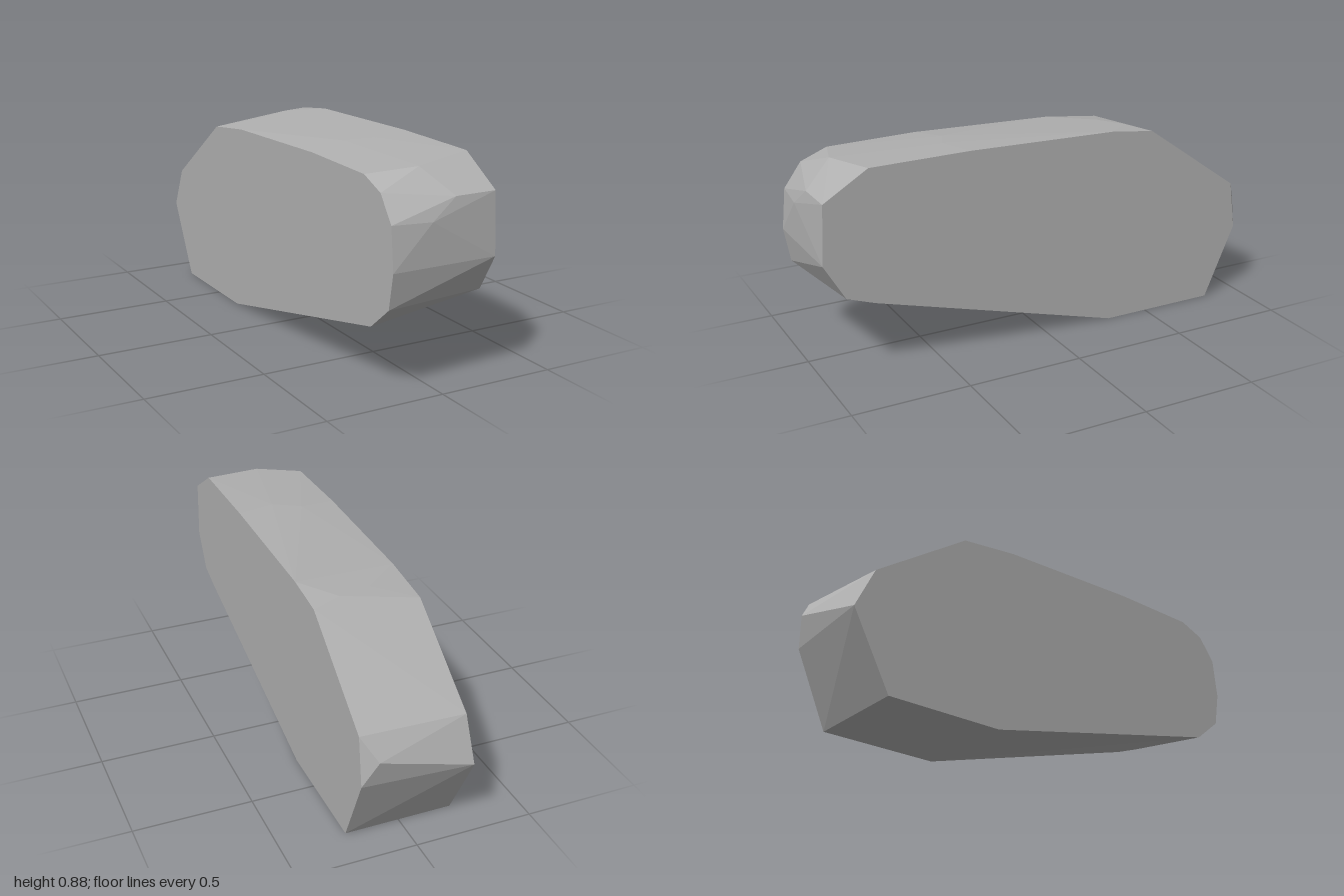
import * as THREE from 'three';
import { ConvexGeometry } from 'three/addons/geometries/ConvexGeometry.js';

export function createModel() {
  const group = new THREE.Group();
  group.name = 'stoneSlab';
  const stone = new THREE.MeshStandardMaterial({ color: 0xb0b0b0, flatShading: true });
  stone.name = 'grey stone';

  const HALF = 0.229;

  // Outline of each flat side as [z, y], running round from the bottom
  const leftSide = [
    [-0.31, 0], [-0.83, 0], [-0.97, 0.32], [-0.94, 0.53], [-0.505, 0.837],
    [-0.31, 0.862], [0.35, 0.877], [0.785, 0.873], [0.975, 0.757],
    [0.988, 0.505], [0.9, 0.353], [0.78, 0.31],
  ];
  const rightSide = [
    [-0.31, 0], [-0.83, 0], [-1, 0.32], [-0.915, 0.5], [-0.495, 0.79],
    [-0.24, 0.82], [0.4, 0.839], [0.79, 0.832], [0.905, 0.786], [0.98, 0.682],
    [0.998, 0.508], [0.972, 0.362], [0.85, 0.262],
  ];
  // Corners on the worn rim between the sides, [x, y, z]
  const rim = [
    [0.17, 0.435, -1], [-0.05, 0.83, -0.4], [0.1, 0.842, -0.45],
    [-0.06, 0.861, 0.35], [0.06, 0.87, 0.4], [-0.03, 0.852, 0.85],
    [0.05, 0.757, 0.978], [-0.06, 0.677, 0.995],
  ];

  const points = [
    ...leftSide.map(([z, y]) => new THREE.Vector3(HALF, y, z)),
    ...rightSide.map(([z, y]) => new THREE.Vector3(-HALF, y, z)),
    ...rim.map((p) => new THREE.Vector3(...p)),
  ];

  // Faceted stone wrapped around all the corners
  const slab = new THREE.Mesh(new ConvexGeometry(points), stone);
  slab.name = 'stone';
  group.add(slab);
  return group;
}
